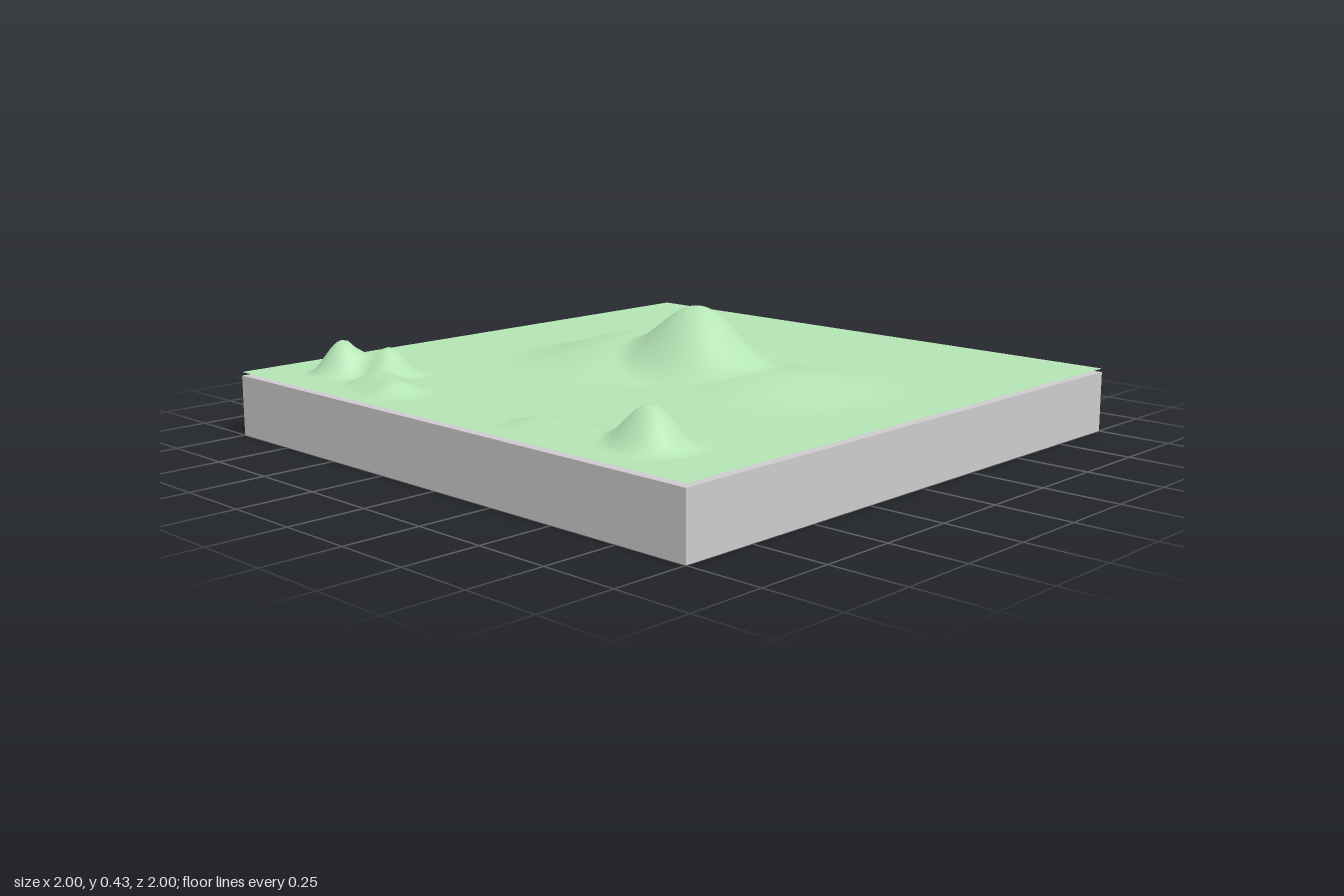
import * as THREE from 'three';

// Each hill: centre x, centre z, radius, height
const HILLS = [
  // central peak with two broad shoulders
  [0.09, -0.03, 0.28, 0.18],
  [-0.2, -0.06, 0.48, 0.095],
  [0.41, -0.04, 0.42, 0.044],
  // front left twin peaks
  [-0.74, 0.78, 0.125, 0.112],
  [-0.62, 0.69, 0.125, 0.09],
  // front right peak
  [0.68, 0.79, 0.145, 0.113],
];

// Each ridge: start x, z, end x, z, radius, height
const RIDGES = [
  [-0.51, 0.81, -0.38, 0.85, 0.13, 0.038],
  [0.28, 0.84, 0.58, 0.82, 0.13, 0.026],
];

const bell = (d, r) => (d < r ? 0.5 + 0.5 * Math.cos((Math.PI * d) / r) : 0);

function groundHeight(x, z) {
  let h = 0;
  for (const [cx, cz, r, top] of HILLS) h += top * bell(Math.hypot(x - cx, z - cz), r);
  for (const [ax, az, bx, bz, r, top] of RIDGES) {
    const dx = bx - ax, dz = bz - az;
    const t = THREE.MathUtils.clamp(((x - ax) * dx + (z - az) * dz) / (dx * dx + dz * dz), 0, 1);
    h += top * bell(Math.hypot(x - ax - t * dx, z - az - t * dz), r);
  }
  // small rough dents on the back of the left peaks
  const rough = bell(Math.hypot(x + 0.75, z - 0.7), 0.1);
  h -= Math.min(h, 0.014 * rough * (1 + Math.sin(x * 110) * Math.sin(z * 130)));
  return h;
}

export function createModel() {
  const model = new THREE.Group();
  model.name = 'terrainTile';

  // Square slab
  const base = new THREE.Mesh(
    new THREE.BoxGeometry(2, 0.2, 2),
    new THREE.MeshStandardMaterial({ color: 0xcccccc })
  );
  base.name = 'base';
  base.position.y = 0.1;
  model.add(base);

  // Thin hilly sheet just above the slab
  const sheet = new THREE.PlaneGeometry(2, 2, 128, 128).rotateX(-Math.PI / 2);
  const p = sheet.attributes.position;
  for (let i = 0; i < p.count; i++) p.setY(i, groundHeight(p.getX(i), p.getZ(i)));
  sheet.computeVertexNormals();
  const terrain = new THREE.Mesh(
    sheet,
    new THREE.MeshStandardMaterial({ color: 0xb4e4b4, side: THREE.DoubleSide })
  );
  terrain.name = 'terrain';
  terrain.position.y = 0.212;
  model.add(terrain);

  return model;
}
